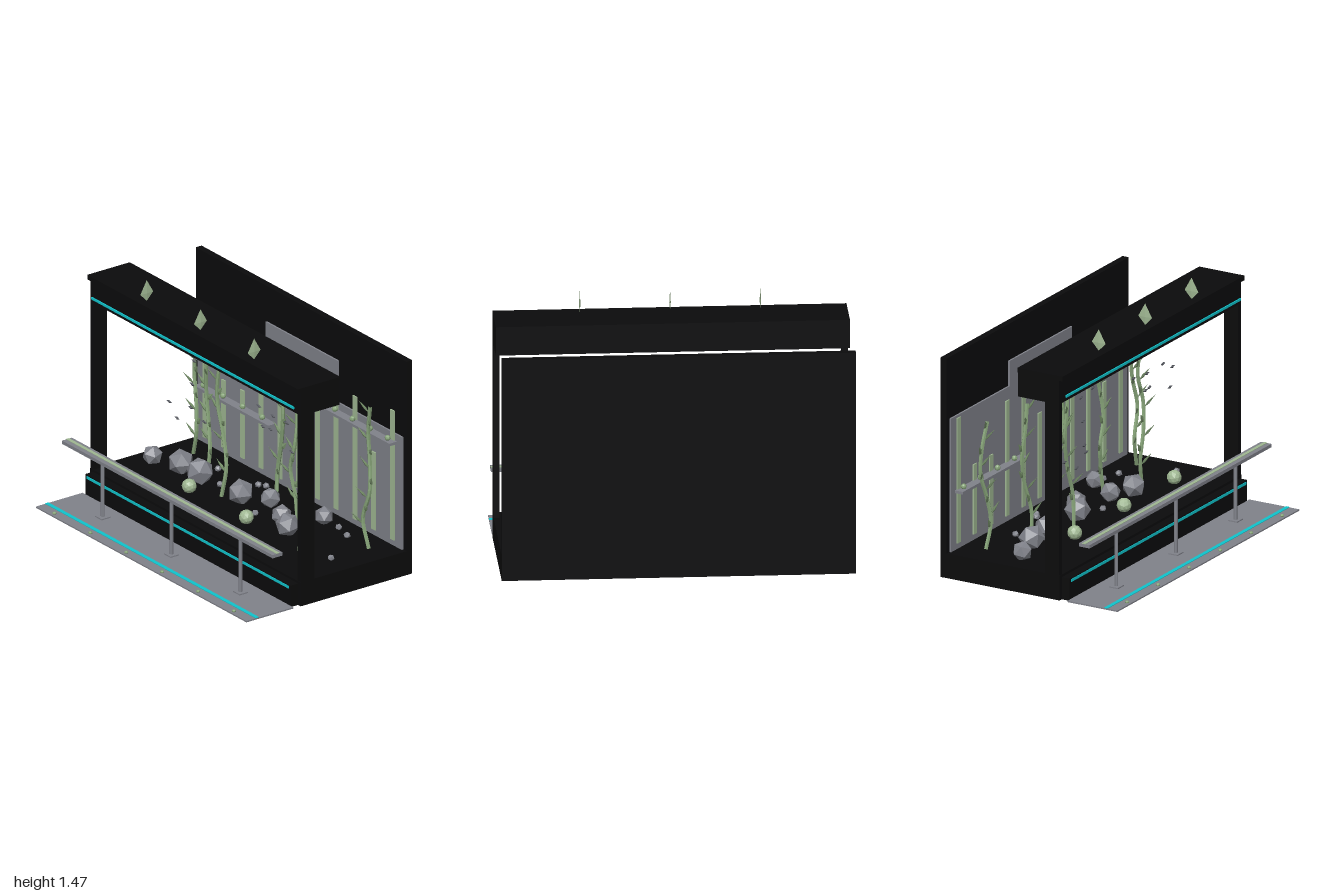
import * as THREE from 'three';
import { mergeVertices } from 'three/addons/utils/BufferGeometryUtils.js';

const mat = (name, color, extra = {}) => {
  const m = new THREE.MeshStandardMaterial({ color, ...extra });
  m.name = name;
  return m;
};

export function createModel() {
  const root = new THREE.Group();
  root.name = 'aquariumDisplay';
  const black = mat('black', 0x0b0b0c);
  const gray = mat('slateGray', 0x80828a, { flatShading: true });
  const green = mat('paleGreen', 0x9fb792, { flatShading: true });
  const kelpGreen = mat('kelpGreen', 0x86a378, { flatShading: true });
  const cyan = mat('cyan', 0x10c4cc);
  const fishGray = mat('fishGray', 0x55585f, { flatShading: true });

  const add = (name, geo, m, x = 0, y = 0, z = 0, parent = root) => {
    const mesh = new THREE.Mesh(geo, m);
    mesh.name = name;
    mesh.position.set(x, y, z);
    parent.add(mesh);
    return mesh;
  };
  // Box given by its limits on each axis
  const box = (name, m, x0, x1, y0, y1, z0, z1) =>
    add(name, new THREE.BoxGeometry(x1 - x0, y1 - y0, z1 - z0), m,
      (x0 + x1) / 2, (y0 + y1) / 2, (z0 + z1) / 2);

  let seed = 7;
  const rnd = () => (seed = (seed * 16807) % 2147483647) / 2147483647;

  // Cabinet: base, front step, back wall, pillars, header and cap
  box('base', black, -1, 1, 0, 0.147, -0.58, 0.2);
  box('frontStep', black, -0.975, 0.975, 0, 0.132, 0.2, 0.252);
  box('backWall', black, -1, 1, 0.147, 1.312, -0.58, -0.54);
  for (const s of [-1, 1]) {
    const p = box('frontPillar', black, 0.967, 1, 0.147, 1.17, 0.105, 0.197);
    p.position.x *= s;
  }
  box('header', black, -1, 1, 1.17, 1.312, -0.072, 0.197);
  box('headerCap', black, -1, 1, 1.312, 1.34, -0.077, 0.22);
  box('headerStrip', cyan, -0.96, 0.96, 1.203, 1.217, 0.215, 0.222);
  box('baseStrip', cyan, -0.96, 0.96, 0.109, 0.125, 0.252, 0.256);

  // Backdrop panels and vertical bars
  for (const [x0, x1, top] of [[-0.97, -0.325, 0.945], [-0.325, 0.36, 1.095], [0.36, 0.97, 0.84]])
    box('backdropPanel', gray, x0, x1, 0.147, top, -0.54, -0.529);
  [0.93, 0.6, 0.6, 0.87, 0.86, 0.69, 0.885, 0.95, 0.94, 0.66, 0.98].forEach((top, i) => {
    const x = -0.893 + i * 0.178;
    box('backdropBar', green, x - 0.018, x + 0.018, 0.183, top, -0.529, -0.521);
  });

  // Wall shelves with knobs
  for (const [x0, x1, y, n, first, gap] of [
    [-0.93, -0.222, 0.497, 4, -0.877, 0.186], [0.145, 0.925, 0.79, 5, 0.205, 0.167]]) {
    box('shelf', gray, x0, x1, y - 0.008, y + 0.008, -0.53, -0.475);
    for (let i = 0; i < n; i++)
      add('shelfKnob', new THREE.SphereGeometry(0.017, 8, 6), kelpGreen, first + i * gap, y + 0.02, -0.502);
  }

  // Walkway plate with light strip and studs
  box('walkway', gray, -1, 1, 0, 0.008, 0.252, 0.58);
  box('walkwayStrip', cyan, -1, 1, 0.008, 0.011, 0.492, 0.516);
  for (let i = 0; i < 6; i++) {
    const stud = add('walkwayStud', new THREE.SphereGeometry(0.012, 8, 6), kelpGreen, -0.855 + i * 0.341, 0.012, 0.557);
    stud.scale.y = 0.8;
  }

  // Hand rail on three posts
  box('rail', gray, -1, 1, 0.346, 0.366, 0.327, 0.397);
  box('railStrip', green, -1, 1, 0.366, 0.369, 0.348, 0.369);
  for (const x of [-0.655, 0, 0.655]) {
    add('railPost', new THREE.CylinderGeometry(0.011, 0.011, 0.34, 8), gray, x, 0.178, 0.367);
    box('railPostFoot', gray, x - 0.032, x + 0.032, 0.008, 0.015, 0.337, 0.397);
  }

  // Thin diamond from an off-centre double pyramid
  const diamond = (w, low, high, t) => {
    const g = new THREE.LatheGeometry([
      new THREE.Vector2(0, -low), new THREE.Vector2(w, 0), new THREE.Vector2(0, high)], 4);
    return g.scale(t, 1, 1);
  };
  for (const x of [-0.51, 0, 0.51])
    add('roofFin', diamond(0.045, 0.048, 0.08, 0.1), green, x, 1.386, 0.165);

  // Rocks, pebbles and corals
  const stone = (name, r, m, x, y, z) => {
    const g = new THREE.IcosahedronGeometry(r, r > 0.03 && m === green ? 1 : 0);
    add(name, g, m, x, y, z).rotation.set(rnd() * 3, rnd() * 3, rnd() * 3);
  };
  for (const [x, z, r] of [
    [-0.855, -0.13, 0.06], [-0.66, -0.185, 0.077], [-0.483, -0.187, 0.083], [-0.12, -0.207, 0.077],
    [0.027, -0.305, 0.062], [0.255, -0.215, 0.062], [0.4, -0.15, 0.072], [0.4, -0.405, 0.056]])
    stone('rock', r, gray, x, 0.15 + r * 0.7, z);
  for (const [x, z] of [[-0.23, -0.41], [-0.19, -0.435], [-0.545, -0.36], [-0.363, -0.24],
    [0.08, -0.16], [0.52, -0.42], [0.64, -0.39], [0.84, -0.13]])
    stone('pebble', 0.021, gray, x, 0.157, z);
  for (const x of [-0.405, 0.137, 0.688]) stone('coral', 0.043, green, x, 0.18, -0.055);

  // Kelp: swaying stalk with leaves on alternate sides
  const leaf = mergeVertices(diamond(0.017, 0.04, 0.06, 1).scale(1, 1, 0.3).translate(0, 0.04, 0));
  const up = new THREE.Vector3(0, 1, 0);
  const kelps = [
    // depth, top, x at even heights
    [-0.39, 0.9, [-0.82, -0.78, -0.8, -0.84, -0.83, -0.79]],
    [-0.28, 0.95, [-0.525, -0.51, -0.55, -0.575, -0.56, -0.535]],
    [-0.17, 1.065, [-0.24, -0.22, -0.265, -0.305, -0.29, -0.255]],
    [-0.39, 1.02, [-0.03, -0.04, 0, 0.03, 0.01, -0.025]],
    [-0.28, 0.93, [0.305, 0.28, 0.25, 0.29, 0.285, 0.245]],
    [-0.17, 0.99, [0.545, 0.51, 0.535, 0.56, 0.525, 0.55]],
    [-0.39, 1.02, [0.84, 0.8, 0.85, 0.825, 0.81, 0.845]],
  ];
  kelps.forEach(([z, top, xs], k) => {
    const plant = new THREE.Group();
    plant.name = 'kelp';
    root.add(plant);
    const curve = new THREE.CatmullRomCurve3(xs.map((x, i) => new THREE.Vector3(
      x, 0.147 + (top - 0.147) * i / 5, z - 0.004 * i + 0.012 * Math.sin(i * 1.5 + k))));
    add('kelpStalk', new THREE.TubeGeometry(curve, 24, 0.012, 6), kelpGreen, 0, 0, 0, plant);
    for (let i = 0; i < 9; i++) {
      const p = curve.getPointAt(0.16 + i * 0.098);
      const side = (i + k) % 2 ? 1 : -1;
      const dir = new THREE.Vector3(side * (0.6 + 0.3 * rnd()), 0.75, 0.1 + 0.4 * rnd()).normalize();
      const blade = add('kelpLeaf', leaf, kelpGreen, p.x, p.y, p.z, plant);
      blade.quaternion.setFromUnitVectors(up, dir);
    }
  });

  // Two schools of small fish
  const fishGeo = new THREE.OctahedronGeometry(1).scale(0.027, 0.01, 0.008);
  for (const [x, y, z] of [
    [-0.28, 1.015, -0.01], [-0.35, 0.97, -0.047], [-0.35, 0.83, -0.035], [-0.35, 0.69, -0.025],
    [-0.46, 0.59, -0.01], [-0.27, 0.62, -0.06], [-0.56, 0.65, -0.03], [0.25, 0.9, -0.06],
    [0.39, 0.89, -0.055], [0.33, 0.81, -0.03], [0.39, 0.81, -0.04], [0.54, 0.905, -0.04],
    [0.66, 0.85, -0.05], [0.6, 0.75, -0.03]])
    add('fish', fishGeo, fishGray, x, y, z);

  return root;
}
